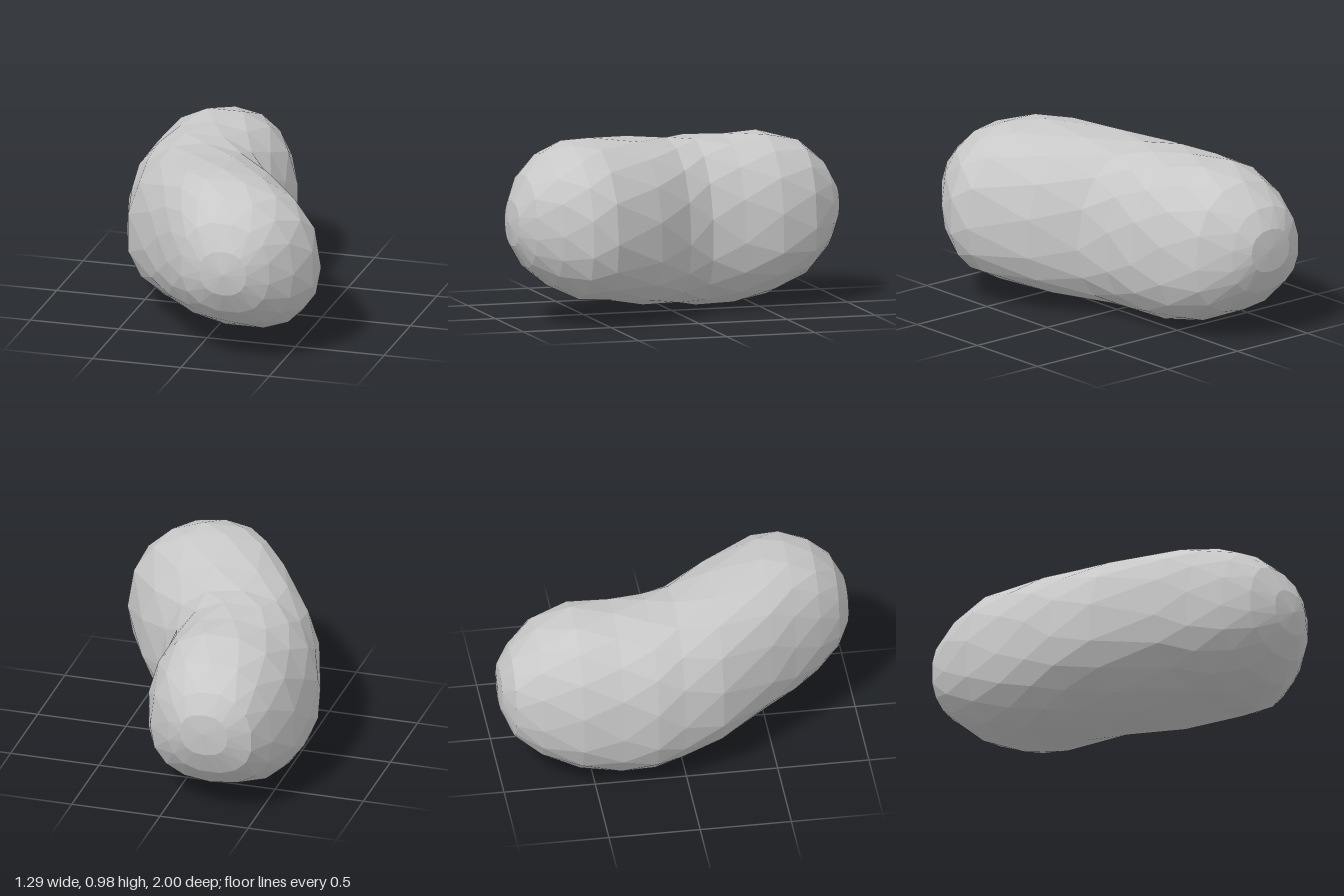
import * as THREE from 'three';

// Cross-sections from back to front:
// z, x min, x max, y min, y of widest point, y max, lean (x shift from top to bottom)
const SECTIONS = [
  [-0.99, -0.38, -0.11, 0.4, 0.52, 0.64, 0],
  [-0.93, -0.5, -0.02, 0.27, 0.48, 0.75, 0],
  [-0.79, -0.57, 0.12, 0.14, 0.43, 0.87, 0],
  [-0.58, -0.64, 0.2, 0.045, 0.4, 0.93, 0],
  [-0.36, -0.65, 0.215, 0.0, 0.38, 0.925, 0],
  [-0.17, -0.65, 0.225, 0.0, 0.39, 0.925, 0],
  [-0.02, -0.61, 0.3, 0.025, 0.4, 0.925, 0.01],
  [0.2, -0.545, 0.48, 0.05, 0.43, 0.95, 0.03],
  [0.5, -0.355, 0.645, 0.115, 0.47, 0.982, 0.06],
  [0.64, -0.25, 0.645, 0.135, 0.49, 0.975, 0.06],
  [0.79, -0.14, 0.575, 0.21, 0.52, 0.925, 0.04],
  [0.91, -0.03, 0.475, 0.31, 0.55, 0.82, 0.02],
  [0.98, 0.1, 0.365, 0.43, 0.555, 0.68, 0],
];
const SIDES = 16;
const ROUNDNESS = 2 / 2.3;

// A slightly squared egg shape, leaning sideways; every other ring is turned half a step
function ringPoint(row, side) {
  const [z, x0, x1, y0, yWide, y1, lean] = SECTIONS[row];
  const angle = ((side + (row % 2) / 2) / SIDES) * Math.PI * 2;
  const soften = (v) => Math.sign(v) * Math.abs(v) ** ROUNDNESS;
  const u = soften(Math.cos(angle));
  const v = soften(Math.sin(angle));
  return [
    (x0 + x1) / 2 + (u * (x1 - x0)) / 2 - lean * v * (1 - u * u),
    yWide + v * (v > 0 ? y1 - yWide : yWide - y0),
    z,
  ];
}

function beanGeometry() {
  const positions = [];
  const triangle = (a, b, c) => positions.push(...a, ...b, ...c);
  const last = SECTIONS.length - 1;

  // Skin between neighbouring rings
  for (let i = 0; i < last; i++) {
    for (let j = 0; j < SIDES; j++) {
      const a = ringPoint(i, j);
      const b = ringPoint(i, j + 1);
      const c = ringPoint(i + 1, j);
      const d = ringPoint(i + 1, j + 1);
      if (i % 2 === 0) {
        triangle(a, b, c);
        triangle(b, d, c);
      } else {
        triangle(a, b, d);
        triangle(a, d, c);
      }
    }
  }

  // Rounded ends closed with fans
  const backTip = [-0.24, 0.53, -1];
  const frontTip = [0.24, 0.555, 1];
  for (let j = 0; j < SIDES; j++) {
    triangle(backTip, ringPoint(0, j + 1), ringPoint(0, j));
    triangle(frontTip, ringPoint(last, j), ringPoint(last, j + 1));
  }

  const geometry = new THREE.BufferGeometry();
  geometry.setAttribute('position', new THREE.Float32BufferAttribute(positions, 3));
  geometry.computeVertexNormals();
  return geometry;
}

export function createModel() {
  const group = new THREE.Group();
  group.name = 'bean';

  const grey = new THREE.MeshStandardMaterial({ color: 0xc8c8c8, flatShading: true });
  grey.name = 'grey';

  const body = new THREE.Mesh(beanGeometry(), grey);
  body.name = 'beanBody';
  group.add(body);
  return group;
}
